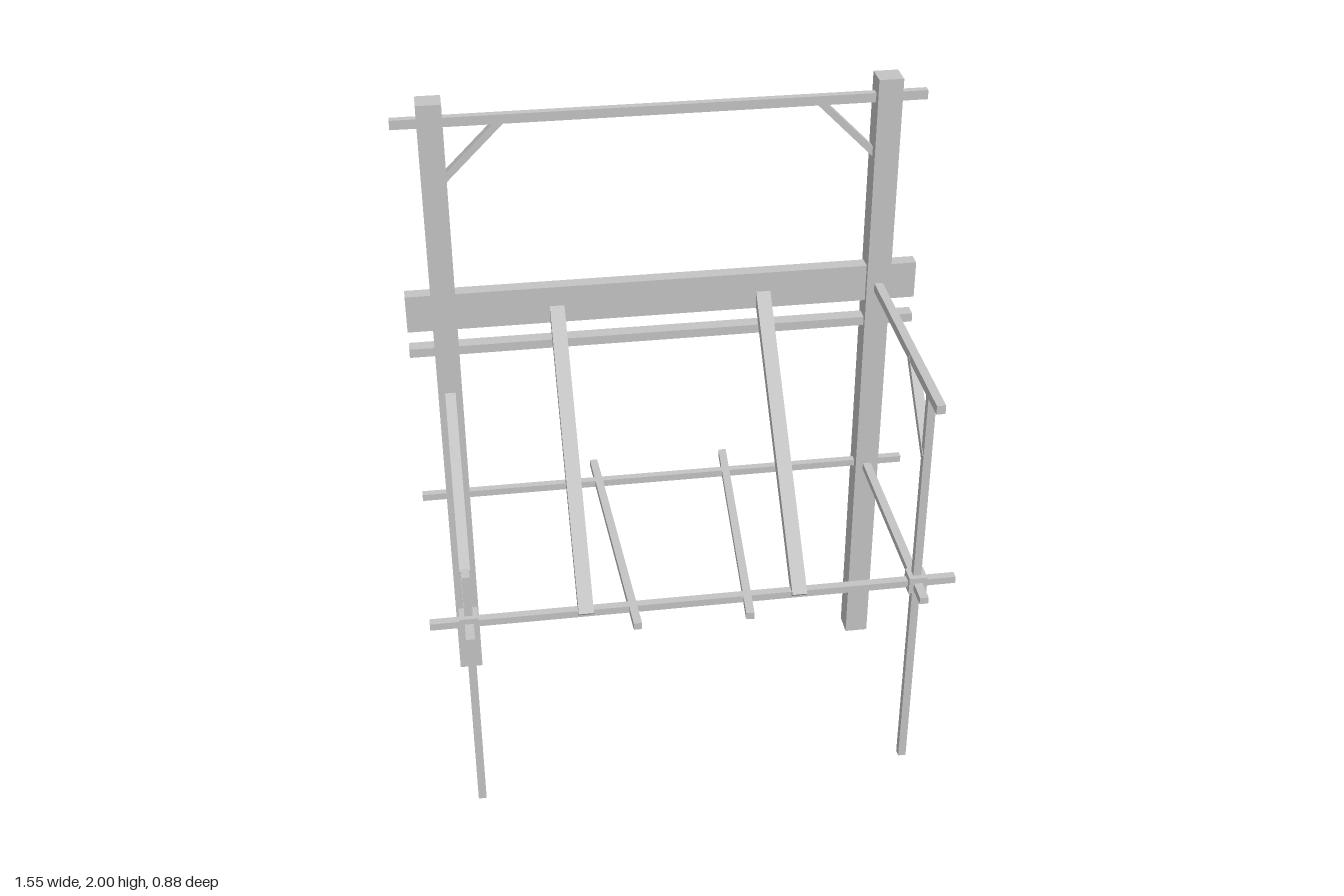
import * as THREE from 'three';

export function createModel() {
  const model = new THREE.Group();
  model.name = 'scaffoldFrame';
  const timber = new THREE.MeshStandardMaterial({ color: 0xc4c4c4 });
  timber.name = 'greyTimber';

  // Axis-aligned timber
  function block(name, [w, h, d], [x, y, z]) {
    const mesh = new THREE.Mesh(new THREE.BoxGeometry(w, h, d), timber);
    mesh.name = name;
    mesh.position.set(x, y, z);
    model.add(mesh);
    return mesh;
  }

  // Square-ended timber running from a to b
  function strut(name, a, b, width, thickness) {
    const start = new THREE.Vector3(...a), end = new THREE.Vector3(...b);
    const mid = start.clone().add(end).multiplyScalar(0.5);
    const mesh = block(name, [width, thickness, start.distanceTo(end)], mid.toArray());
    mesh.lookAt(end);
    return mesh;
  }

  const left = 0.655, right = -0.665;
  const backZ = -0.324, frontZ = 0.34, deckY = 0.677;
  const span = 1.55, midX = -0.002;

  // Main uprights with through-going deck rails and corner blocks
  for (const x of [left, right]) {
    block('post', [0.073, 2, 0.073], [x, 1, backZ]);
    block('deckSideRail', [0.026, 0.022, 0.876], [x, deckY, 0]);
    block('cornerBlock', [0.054, 0.054, 0.054], [x, 0.679, frontZ]);
  }

  // Front legs of unequal height
  block('tallFrontLeg', [0.024, 1.33, 0.024], [left, 0.665, frontZ]);
  block('shortFrontLeg', [0.024, 0.842, 0.024], [right, 0.421, frontZ]);

  // Horizontal beams between the posts
  block('topBeam', [span, 0.028, 0.023], [midX, 1.937, backZ]);
  block('wideBeam', [span, 0.118, 0.043], [midX, 1.34, backZ]);
  block('lowerBeam', [span, 0.028, 0.043], [midX, 1.208, backZ]);
  block('deckBackRail', [span, 0.022, 0.023], [midX, deckY, backZ]);
  block('deckFrontRail', [span, 0.022, 0.025], [midX, deckY, frontZ]);

  // Raised rail on the left side with its brace
  block('upperSideRail', [0.026, 0.027, 0.876], [left, 1.331, 0]);
  strut('upperSideBrace', [left, 1.118, 0.342], [left, 1.326, 0.132], 0.028, 0.022);

  // Lower brace on the right side
  strut('lowerSideBrace', [right, 0.674, 0.098], [right, 1.064, -0.292], 0.032, 0.022);

  // Slightly skewed deck joists
  strut('deckJoist', [-0.187, deckY, 0.434], [-0.22, deckY, -0.438], 0.024, 0.022);
  strut('deckJoist', [0.14, deckY, 0.434], [0.204, deckY, -0.438], 0.024, 0.022);

  // Long sloping props from the deck to the wide beam
  for (const x of [-0.328, 0.3])
    strut('slopingProp', [x, 0.674, 0.354], [x, 1.348, -0.338], 0.044, 0.033);

  // Small corner braces under the top beam
  for (const [x, s] of [[right, 1], [left, -1]])
    strut('topCornerBrace', [x + s * 0.025, 1.756, -0.33], [x + s * 0.203, 1.934, -0.33], 0.028, 0.021)
      .rotation.set(0, 0, 0);

  // Turn each corner brace within the plane of the posts
  for (const brace of model.children.filter((m) => m.name === 'topCornerBrace')) {
    const s = brace.position.x < 0 ? 1 : -1;
    brace.geometry = new THREE.BoxGeometry(0.252, 0.021, 0.028);
    brace.rotation.z = s * Math.PI / 4;
  }
  return model;
}
